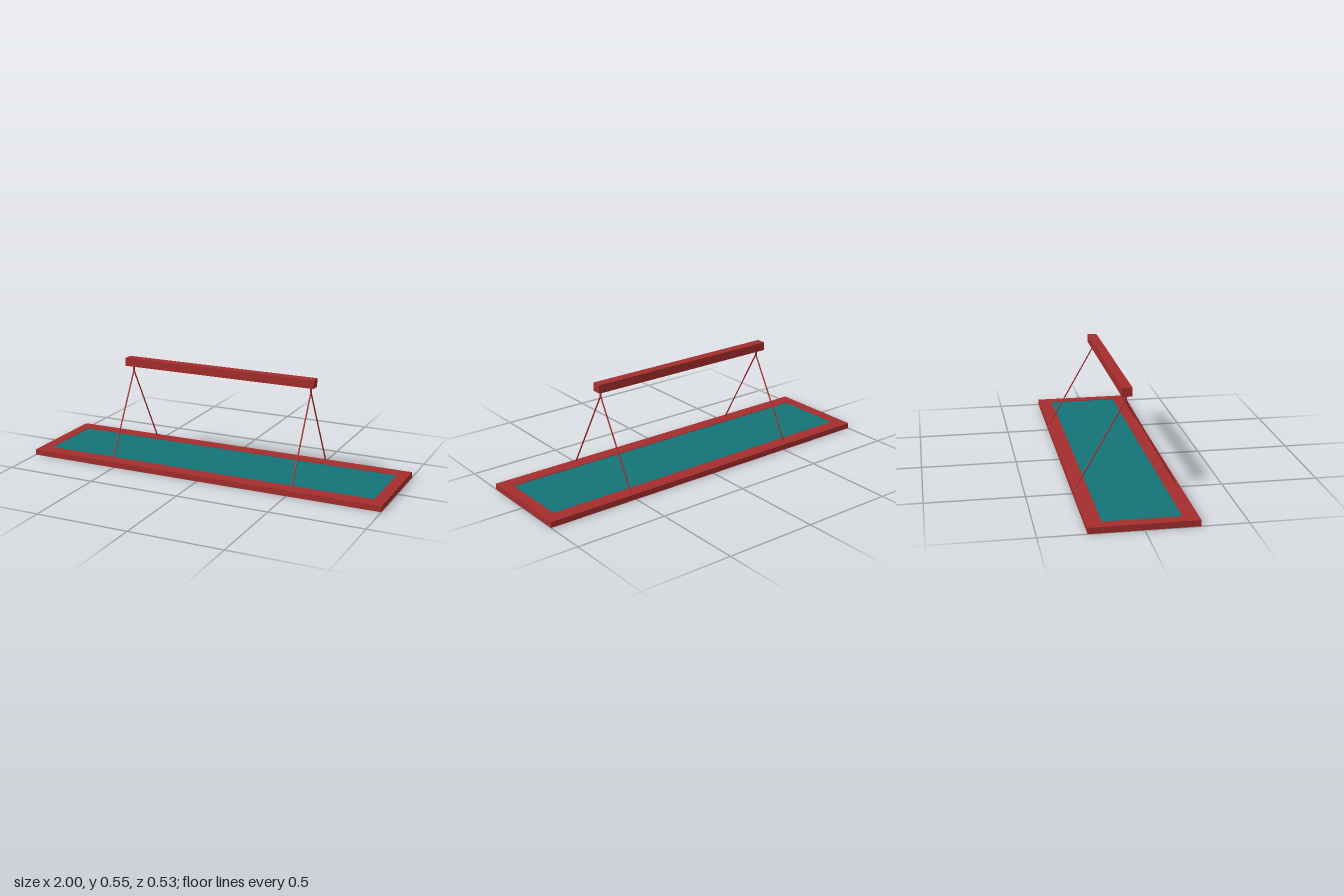
import * as THREE from 'three';

export function createModel() {
  const model = new THREE.Group();
  model.name = 'hangingLamp';
  const red = new THREE.MeshStandardMaterial({ color: 0xa52d2d });
  const teal = new THREE.MeshStandardMaterial({ color: 0x147377 });

  function add(name, geometry, material, x = 0, y = 0, z = 0) {
    const mesh = new THREE.Mesh(geometry, material);
    mesh.name = name;
    mesh.position.set(x, y, z);
    model.add(mesh);
    return mesh;
  }

  // Flat rectangular ring lying in the xz plane, rising from y0 to y1
  function ring(name, outerX, outerZ, innerX, innerZ, y0, y1) {
    const rect = (path, x, z) => path.moveTo(-x, -z).lineTo(x, -z).lineTo(x, z).lineTo(-x, z).closePath();
    const shape = rect(new THREE.Shape(), outerX, outerZ);
    shape.holes.push(rect(new THREE.Path(), innerX, innerZ));
    const geometry = new THREE.ExtrudeGeometry(shape, { depth: y1 - y0, bevelEnabled: false });
    geometry.rotateX(-Math.PI / 2);
    add(name, geometry, red, 0, y0, 0);
  }

  // Frame: thin outer wall with a wide lip on top, holding the panel
  ring('frameWall', 1, 0.267, 0.98, 0.247, 0, 0.027);
  ring('frameLip', 1, 0.267, 0.939, 0.191, 0.027, 0.031);
  add('panel', new THREE.BoxGeometry(1.96, 0.008, 0.494), teal, 0, 0.0245, 0);

  // Ceiling beam
  add('beam', new THREE.BoxGeometry(1.095, 0.045, 0.051), red, -0.002, 0.5275, 0);

  // Two hangers, each a short stub with a pair of slanted wires
  const up = new THREE.Vector3(0, 1, 0);
  for (const x of [-0.513, 0.522]) {
    add('hangerStub', new THREE.CylinderGeometry(0.006, 0.006, 0.036, 12), red, x, 0.49, 0);
    for (const side of [-1, 1]) {
      const top = new THREE.Vector3(x, 0.476, side * 0.002);
      const foot = new THREE.Vector3(x, 0.029, side * 0.255);
      const along = top.clone().sub(foot);
      const wire = add('wire', new THREE.CylinderGeometry(0.0037, 0.0037, along.length(), 10), red);
      wire.position.copy(top).add(foot).multiplyScalar(0.5);
      wire.quaternion.setFromUnitVectors(up, along.normalize());
    }
  }
  return model;
}
